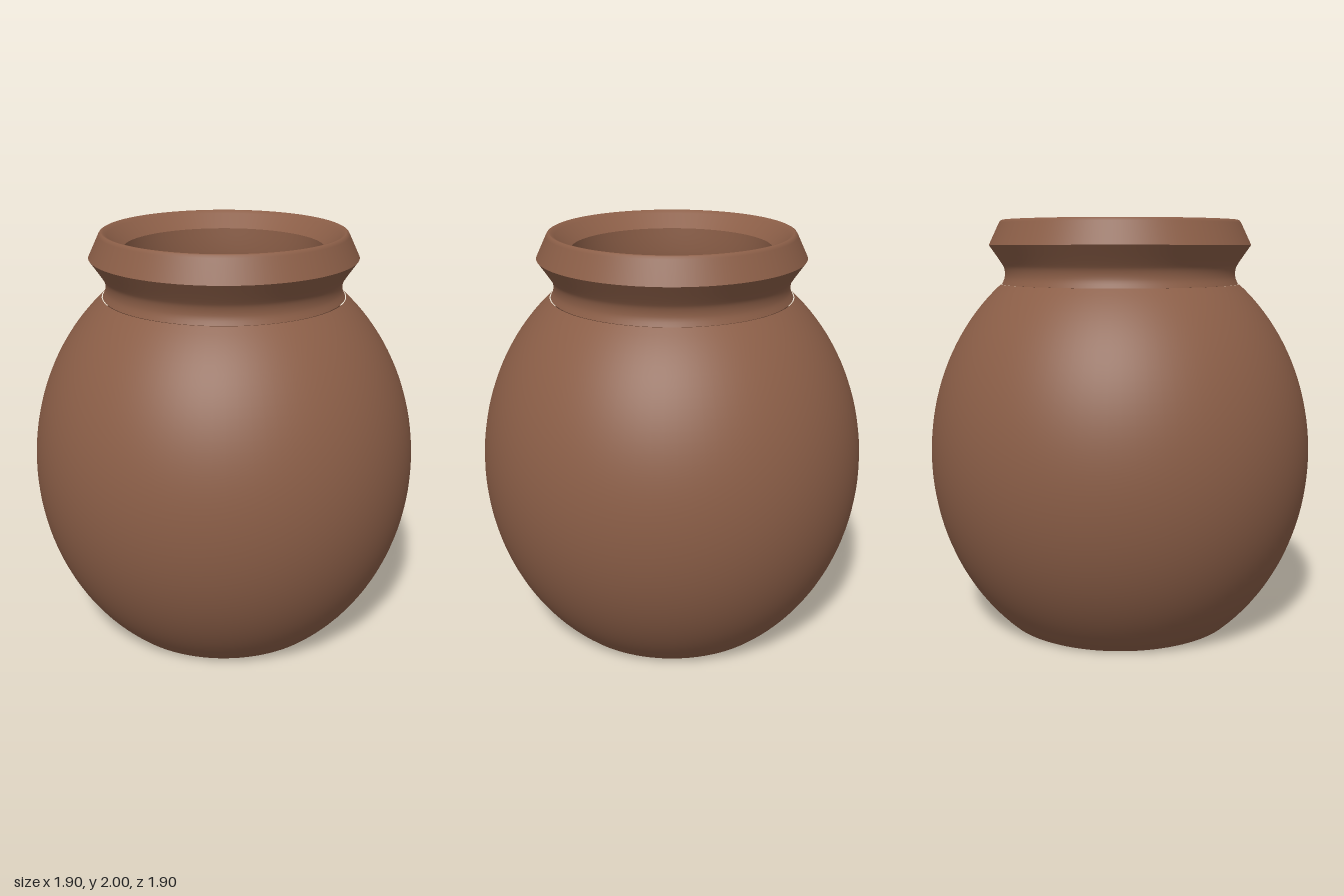
import * as THREE from 'three';

const SEGMENTS = 96;

// Points along an upright ellipse between two heights
function ellipseProfile(radius, halfHeight, centreY, fromY, toY, steps = 40) {
  const points = [];
  const a0 = Math.asin((fromY - centreY) / halfHeight);
  const a1 = Math.asin((toY - centreY) / halfHeight);
  for (let i = 0; i <= steps; i++) {
    const a = a0 + (a1 - a0) * i / steps;
    points.push([radius * Math.cos(a), centreY + halfHeight * Math.sin(a)]);
  }
  return points;
}

// Smooth curve through a few profile points
function curveProfile(points, steps = 14) {
  const curve = new THREE.SplineCurve(points.map(p => new THREE.Vector2(...p)));
  return curve.getPoints(steps).map(p => [p.x, p.y]);
}

export function createModel() {
  const group = new THREE.Group();
  const clay = new THREE.MeshStandardMaterial({ color: 0x8b5e47 });
  clay.name = 'brown clay';

  // Each turned section is its own mesh, so the seams between them stay crisp
  function turn(name, profile) {
    const points = profile.map(([r, y]) => new THREE.Vector2(r, y));
    const mesh = new THREE.Mesh(new THREE.LatheGeometry(points, SEGMENTS), clay);
    mesh.name = name;
    group.add(mesh);
  }

  // Outside, from the base up
  turn('base', [[0, 0], [0.585, 0]]);
  turn('body', ellipseProfile(0.95, 1.078, 0.845, 0, 1.69));
  turn('neck', curveProfile([[0.585, 1.69], [0.571, 1.725], [0.572, 1.765], [0.59, 1.8], [0.645, 1.88]]));
  turn('lipOutside', [[0.645, 1.88], [0.595, 1.985], [0.588, 1.996], [0.58, 2]]);

  // Inside, from the lip down
  turn('lipInside', [[0.58, 2], [0.57, 1.998], [0.555, 1.985], [0.48, 1.92]]);
  turn('throat', curveProfile([[0.48, 1.92], [0.477, 1.84], [0.48, 1.76], [0.5, 1.7], [0.55, 1.64]]));
  turn('innerWall', ellipseProfile(0.89, 1.01, 0.845, 1.64, 0.06));
  turn('innerFloor', [[0.56, 0.06], [0, 0.06]]);

  return group;
}
